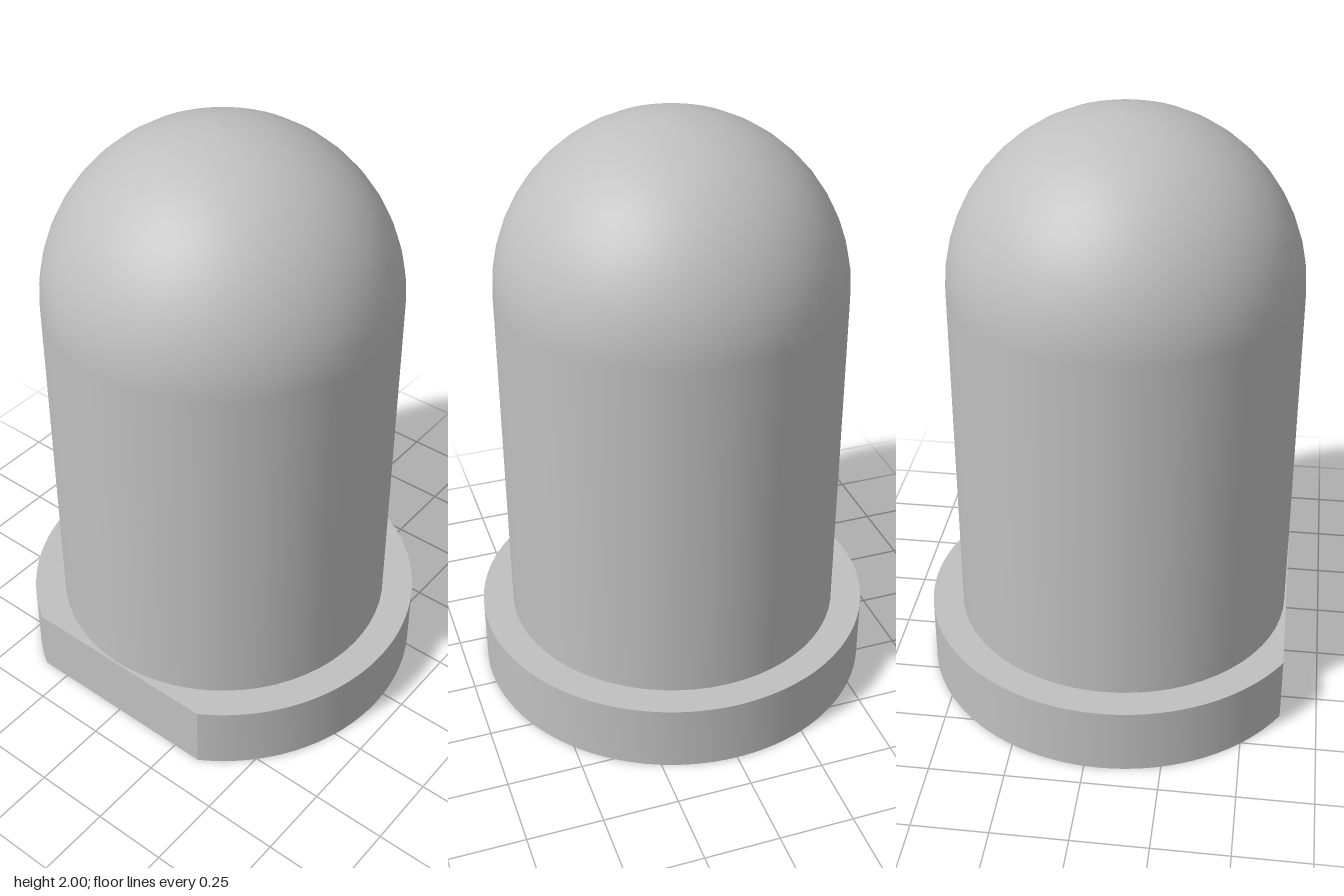
import * as THREE from 'three';
import { toCreasedNormals } from 'three/addons/utils/BufferGeometryUtils.js';

const CENTER_X = -0.05;      // axis of the round body
const BODY_R = 0.57;
const FLANGE_R = 0.675;
const FLANGE_H = 0.23;
const FLAT_X = -0.577;       // flat side of the flange, from the axis
const DOME_Y = 1.43;
const SOCKET = 0.094;        // side of the square lead sockets

export function createModel() {
  const gray = new THREE.MeshStandardMaterial({ color: 0xc0c0c0 });
  gray.name = 'gray';
  const model = new THREE.Group();
  model.name = 'domedLamp';
  model.position.x = CENTER_X;

  const add = (name, geometry) => {
    const mesh = new THREE.Mesh(geometry, gray);
    mesh.name = name;
    model.add(mesh);
    return mesh;
  };

  // Lead sockets: position along x and depth
  const sockets = [
    { name: 'leftSocketCeiling', x: 0.29, depth: 0.2 },
    { name: 'rightSocketCeiling', x: -0.29, depth: 0.04 },
  ];

  // Flange: disc with one flat side and two square holes
  const cut = Math.acos(FLAT_X / FLANGE_R);
  const outline = new THREE.Shape();
  outline.absarc(0, 0, FLANGE_R, -cut, cut, false);
  outline.closePath();
  for (const { x } of sockets) {
    const h = SOCKET / 2;
    outline.holes.push(new THREE.Path([
      new THREE.Vector2(x - h, -h), new THREE.Vector2(x - h, h),
      new THREE.Vector2(x + h, h), new THREE.Vector2(x + h, -h),
    ]));
  }
  const flange = new THREE.ExtrudeGeometry(outline, {
    depth: FLANGE_H, bevelEnabled: false, curveSegments: 64,
  });
  flange.rotateX(-Math.PI / 2);
  add('flange', toCreasedNormals(flange, Math.PI / 6));

  // Ceilings that close the sockets
  for (const { name, x, depth } of sockets) {
    const height = FLANGE_H - 0.002 - depth;
    add(name, new THREE.BoxGeometry(SOCKET, height, SOCKET))
      .position.set(x, depth + height / 2, 0);
  }

  // Body: straight cylinder running into a hemispherical dome
  const profile = [new THREE.Vector2(BODY_R, FLANGE_H)];
  const rings = 12;
  for (let i = 0; i <= rings; i++) {
    const a = (i / rings) * Math.PI / 2;
    profile.push(new THREE.Vector2(
      i === rings ? 0 : BODY_R * Math.cos(a), DOME_Y + BODY_R * Math.sin(a)));
  }
  add('domedBody', new THREE.LatheGeometry(profile, 64));

  const root = new THREE.Group();
  root.name = 'model';
  root.add(model);
  return root;
}
